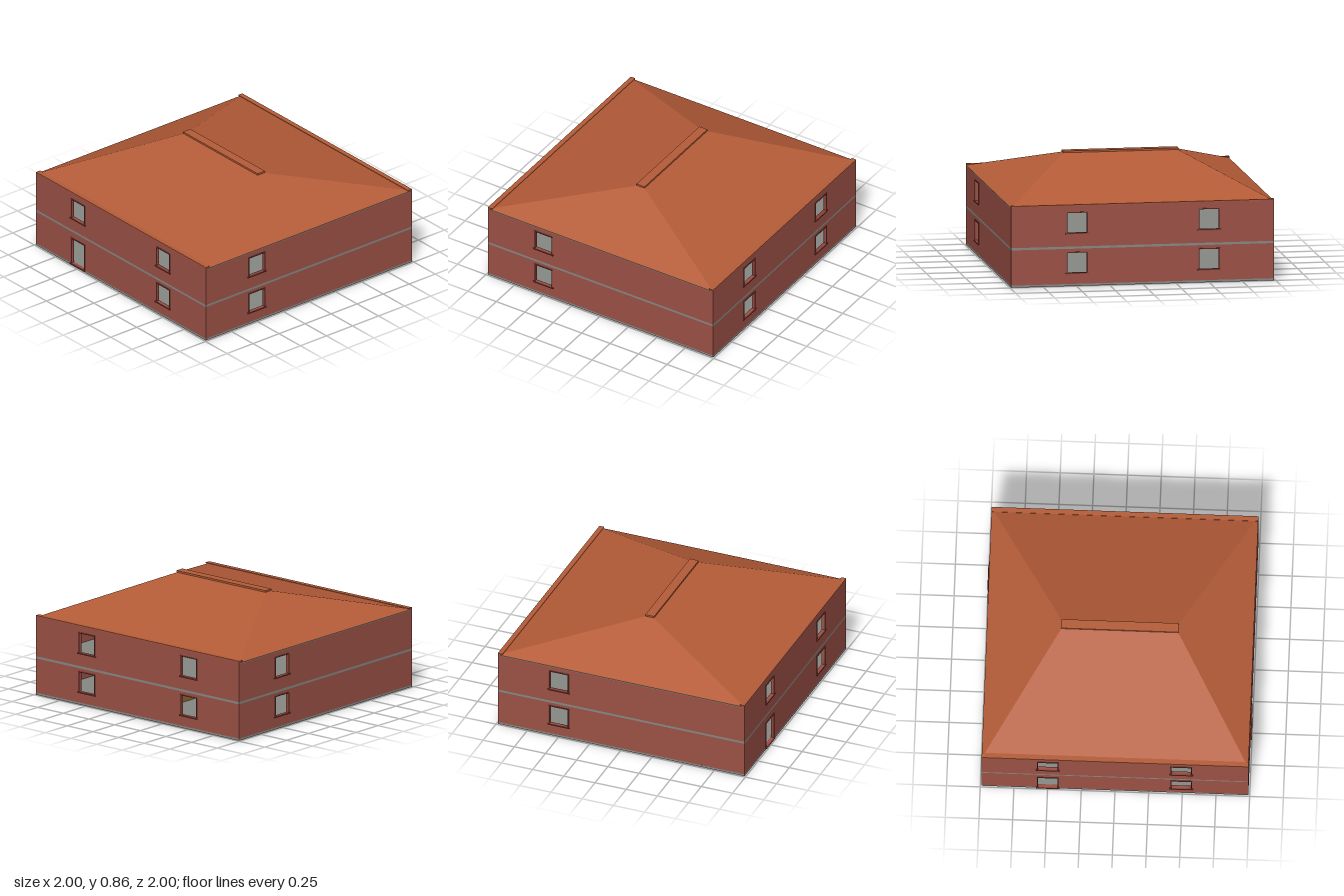
import * as THREE from 'three';

const mat = (color, side = THREE.FrontSide) =>
  new THREE.MeshStandardMaterial({ color, side, flatShading: true });

const brick = mat(0x9c5145);
const frameMat = mat(0x8a4038);
const concrete = mat(0x868884);
const tile = mat(0xb55c38, THREE.DoubleSide);
const olive = mat(0x8a6a30);

const HALF = 0.99, WALL = 0.02, EAVE = 0.597;

// box given by its minimum and maximum corners
function box(name, material, min, max) {
  const size = max.map((v, i) => v - min[i]);
  const mesh = new THREE.Mesh(new THREE.BoxGeometry(...size), material);
  mesh.position.set(...max.map((v, i) => (v + min[i]) / 2));
  mesh.name = name;
  return mesh;
}

// wall panel facing +z with rectangular openings [x0, y0, x1, y1]
function wallPanel(halfWidth, y0, y1, openings) {
  const rect = (path, a, b, c, d) =>
    path.moveTo(a, b).lineTo(c, b).lineTo(c, d).lineTo(a, d).closePath();
  const shape = new THREE.Shape();
  rect(shape, -halfWidth, y0, halfWidth, y1);
  for (const o of openings) {
    const hole = new THREE.Path();
    rect(hole, ...o);
    shape.holes.push(hole);
  }
  const geo = new THREE.ExtrudeGeometry(shape, { depth: WALL, bevelEnabled: false });
  geo.translate(0, 0, HALF - WALL);
  const mesh = new THREE.Mesh(geo, brick);
  mesh.name = 'wall';
  return mesh;
}

// thin jambs and lintel with a wider projecting sill
function openingFrame(name, [x0, y0, x1, y1]) {
  const g = new THREE.Group();
  g.name = name;
  const t = 0.007, back = HALF - WALL - 0.002, front = 0.995;
  g.add(
    box('jamb', frameMat, [x0 - t, y0, back], [x0, y1, front]),
    box('jamb', frameMat, [x1, y0, back], [x1 + t, y1, front]),
    box('lintel', frameMat, [x0 - t, y1, back], [x1 + t, y1 + t, front]),
    box('sill', frameMat, [x0 - 0.014, y0 - 0.009, back], [x1 + 0.014, y0, 1.0])
  );
  return g;
}

const opening = (u, y0, y1) => [u - 0.073, y0, u + 0.073, y1];

// one side of the house, turned to face its direction
function houseSide(name, angle, columns, hasDoor, isSide) {
  const g = new THREE.Group();
  g.name = name;
  const halfWidth = isSide ? HALF - WALL : HALF;
  const lower = columns.map((u, i) =>
    hasDoor && i === 0 ? opening(u, 0.02, 0.224) : opening(u, 0.1, 0.25));
  const upper = columns.map((u) => opening(u, 0.4, 0.55));
  g.add(wallPanel(halfWidth, 0.016, 0.28, lower));
  g.add(wallPanel(halfWidth, 0.297, isSide ? 0.59 : 0.605, upper));
  lower.forEach((o, i) =>
    g.add(openingFrame(hasDoor && i === 0 ? 'doorFrame' : 'windowFrame', o)));
  upper.forEach((o) => g.add(openingFrame('windowFrame', o)));
  if (isSide) {
    g.add(box('wallPlate', concrete, [-halfWidth, 0.59, HALF - WALL], [halfWidth, EAVE, HALF]));
  } else {
    g.add(box('eaveCap', tile, [-HALF, 0.604, 0.952], [HALF, 0.611, HALF]));
  }
  g.rotation.y = angle;
  return g;
}

// open hip roof: two trapezoids and two triangles
function hipRoof() {
  const ridge = 0.415, top = 0.848;
  const A = [-HALF, EAVE, HALF], B = [HALF, EAVE, HALF];
  const C = [HALF, EAVE, -HALF], D = [-HALF, EAVE, -HALF];
  const L = [-ridge, top, 0], R = [ridge, top, 0];
  const tris = [A, B, R, A, R, L, C, D, L, C, L, R, B, C, R, D, A, L];
  const geo = new THREE.BufferGeometry();
  geo.setAttribute('position', new THREE.Float32BufferAttribute(tris.flat(), 3));
  geo.computeVertexNormals();
  const mesh = new THREE.Mesh(geo, tile);
  mesh.name = 'hipRoof';
  return mesh;
}

export function createModel() {
  const house = new THREE.Group();
  house.name = 'house';

  // floor slabs, visible as bands around the outside
  house.add(box('baseSlab', concrete, [-HALF, 0, -HALF], [HALF, 0.016, HALF]));
  house.add(box('upperFloorSlab', concrete, [-HALF, 0.28, -HALF], [HALF, 0.297, HALF]));

  // outer walls with their openings
  house.add(houseSide('frontSide', 0, [-0.5, 0.493], true, false));
  house.add(houseSide('leftSide', Math.PI / 2, [-0.5], false, true));
  house.add(houseSide('backSide', Math.PI, [-0.493, 0.5], false, false));
  house.add(houseSide('rightSide', -Math.PI / 2, [-0.5], false, true));

  // inner partition on the ground floor
  house.add(box('partition', olive, [-0.015, 0.016, -0.5], [0.015, 0.28, 0.5]));

  // roof and its ridge cap
  house.add(hipRoof());
  house.add(box('ridgeCap', tile, [-0.435, 0.842, -0.035], [0.435, 0.855, 0.035]));
  return house;
}
